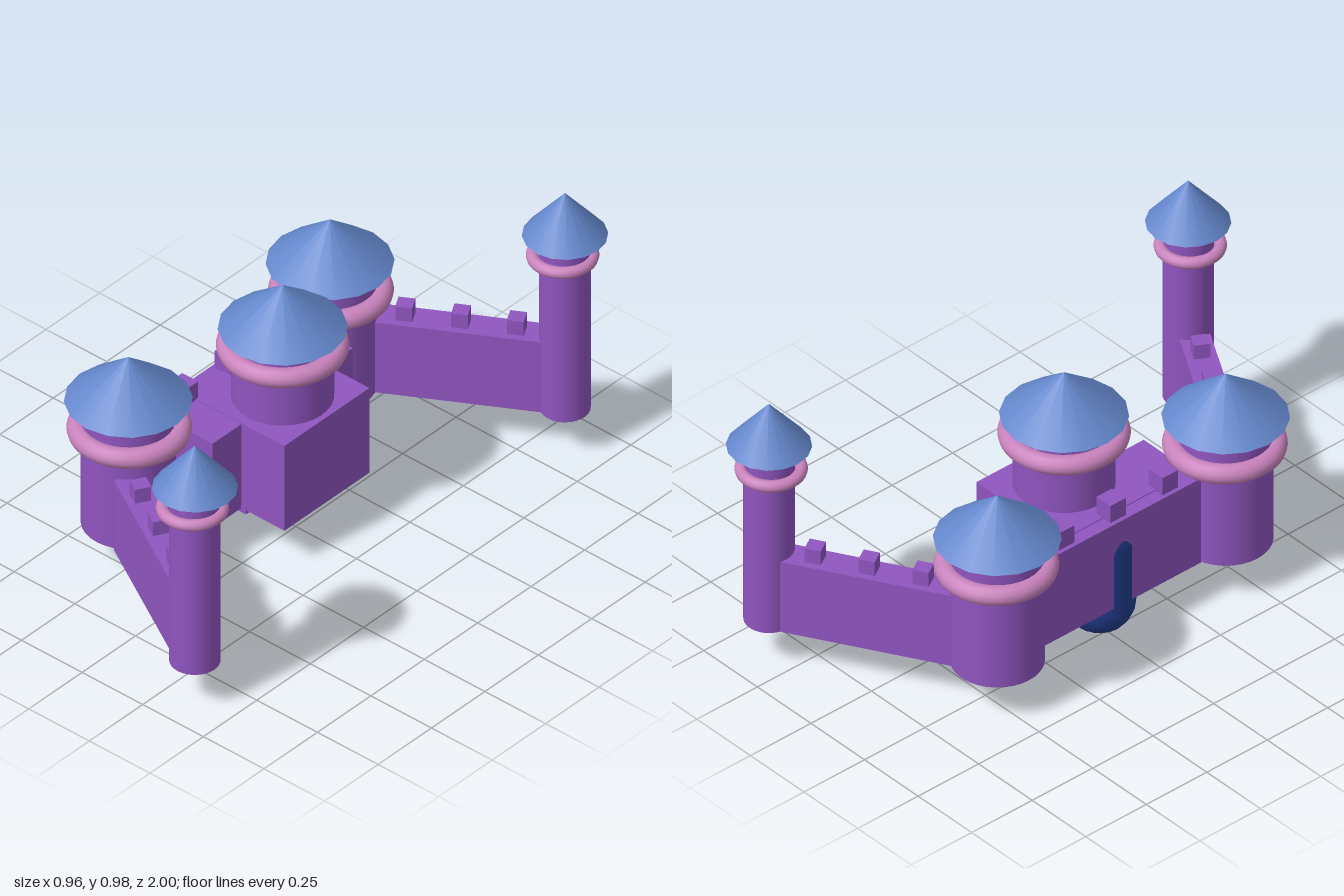
import * as THREE from 'three';

const material = (color) => new THREE.MeshStandardMaterial({ color });
const stone = material(0x9055c0);
const roofBlue = material(0x6487cc);
const pink = material(0xc983bd);
const navy = material(0x223c8c);

const GROUND = 0.147; // underside of the walls and towers

export function createModel() {
  const castle = new THREE.Group();
  castle.name = 'castle';

  function add(parent, name, geometry, mat, x, y, z) {
    const mesh = new THREE.Mesh(geometry, mat);
    mesh.name = name;
    mesh.position.set(x, y, z);
    parent.add(mesh);
    return mesh;
  }

  // Box given by its lower and upper corners
  function block(name, [x0, y0, z0], [x1, y1, z1]) {
    add(castle, name, new THREE.BoxGeometry(x1 - x0, y1 - y0, z1 - z0), stone,
      (x0 + x1) / 2, (y0 + y1) / 2, (z0 + z1) / 2);
  }

  // Round tower with a ring and a conical roof
  function tower(name, x, z, t) {
    const group = new THREE.Group();
    group.name = name;
    group.position.set(x, 0, z);
    castle.add(group);
    const h = t.eaves - GROUND;
    add(group, name + 'Shaft', new THREE.CylinderGeometry(t.radius, t.radius, h, 32), stone,
      0, GROUND + h / 2, 0);
    add(group, name + 'Roof', new THREE.ConeGeometry(t.roofRadius, t.top - t.eaves, 16), roofBlue,
      0, (t.eaves + t.top) / 2, 0);
    const ring = add(group, name + 'Ring', new THREE.TorusGeometry(t.ringRadius, t.ringTube, 12, 48), pink,
      t.ringShift, t.ringY, 0);
    ring.rotation.x = Math.PI / 2;
  }

  const main = { radius: 0.148, eaves: 0.617, top: 0.78, roofRadius: 0.2,
    ringRadius: 0.161, ringTube: 0.034, ringY: 0.512, ringShift: 0.004 };
  const corner = { radius: 0.08, eaves: 0.816, top: 0.975, roofRadius: 0.134,
    ringRadius: 0.094, ringTube: 0.02, ringY: 0.732, ringShift: -0.01 };
  const keep = { radius: 0.16, eaves: 0.738, top: 0.9, roofRadius: 0.202,
    ringRadius: 0.174, ringTube: 0.033, ringY: 0.671, ringShift: 0 };

  // Central keep, gatehouse and back wall
  tower('keep', -0.062, -0.009, keep);
  block('gatehouse', [-0.28, GROUND, -0.212], [0.117, 0.475, 0.186]);
  block('backWall', [-0.327, GROUND, -0.335], [-0.06, 0.472, 0.322]);
  block('floorSlab', [-0.305, 0.133, -0.208], [-0.04, 0.16, 0.188]);
  for (const z of [-0.22, -0.008, 0.208]) {
    block('backMerlon', [-0.313, 0.46, z - 0.032], [-0.248, 0.538, z + 0.032]);
  }

  // Rounded door set through the back wall
  add(castle, 'door', new THREE.CapsuleGeometry(0.115, 0.24, 6, 20), navy, -0.218, 0.235, 0);

  // Both wings: towers joined by an angled curtain wall with merlons
  for (const side of [1, -1]) {
    tower('mainTower', -0.28, side * 0.472 - 0.006, main);
    tower('cornerTower', 0.347, side * 0.866, corner);

    const wing = new THREE.Group();
    wing.name = 'curtainWall';
    wing.position.set(0.058, 0, side * 0.708);
    wing.rotation.y = -side * Math.PI / 6;
    castle.add(wing);
    add(wing, 'wall', new THREE.BoxGeometry(0.57, 0.27, 0.1), stone, 0, GROUND + 0.135, 0);
    for (const i of [-1, 0, 1]) {
      add(wing, 'merlon', new THREE.BoxGeometry(0.053, 0.07, 0.053), stone, i * 0.176, 0.435, 0);
    }
  }
  return castle;
}
